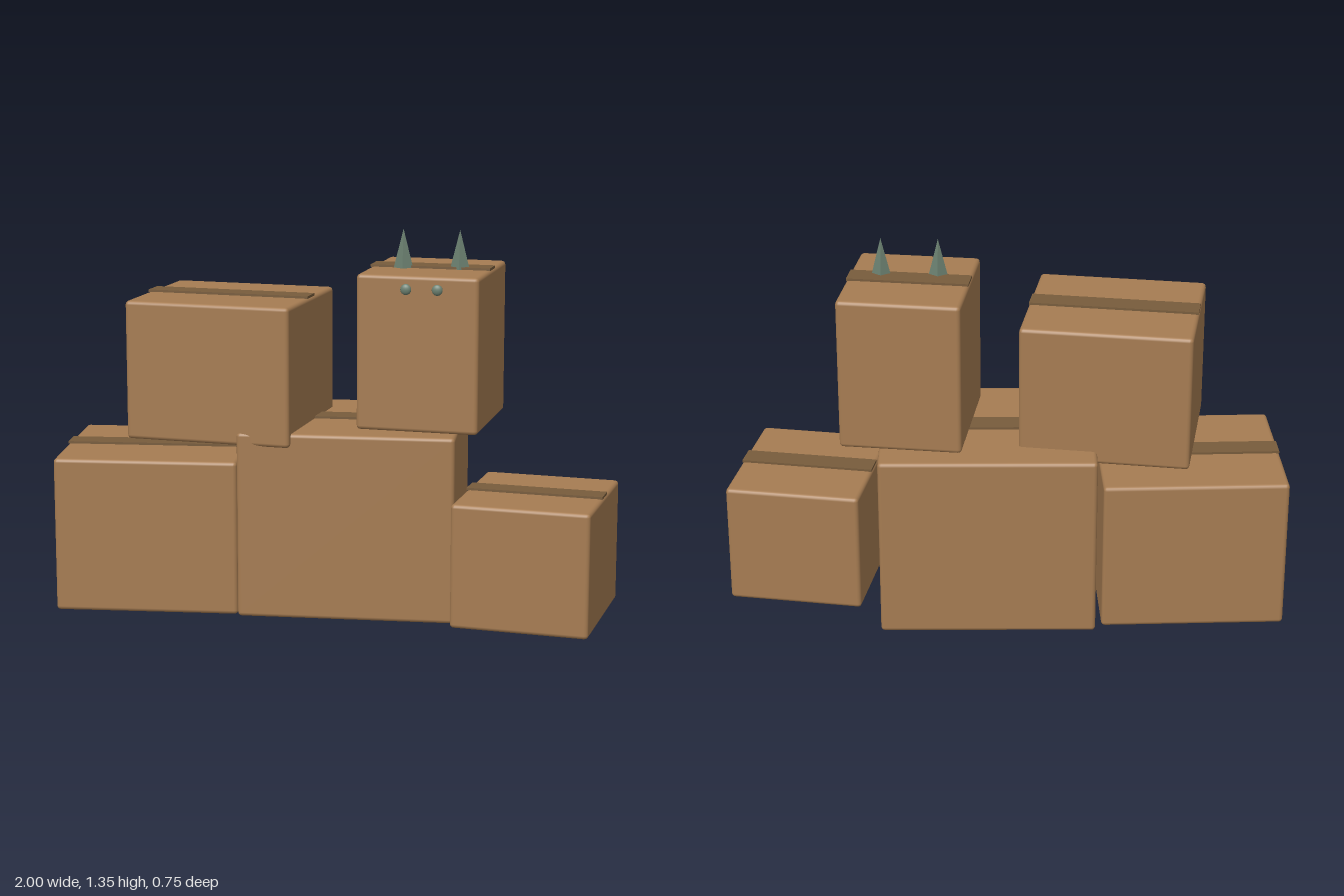
import * as THREE from 'three';
import { RoundedBoxGeometry } from 'three/addons/geometries/RoundedBoxGeometry.js';

export function createModel() {
  const model = new THREE.Group();
  model.name = 'boxPile';

  const material = (name, color) => {
    const m = new THREE.MeshStandardMaterial({ color });
    m.name = name;
    return m;
  };
  const cardboard = material('cardboard', 0xa67c52);
  const tapeBrown = material('tapeBrown', 0x785c3c);
  const sageGreen = material('sageGreen', 0x6b8070);
  const sageFaceted = sageGreen;

  const add = (parent, name, geometry, mat, x, y, z) => {
    const mesh = new THREE.Mesh(geometry, mat);
    mesh.name = name;
    mesh.position.set(x, y, z);
    parent.add(mesh);
    return mesh;
  };

  // Cartons: centre x and z, underside, width, height, depth, turn about y
  const cartons = [
    ['lowerRightCarton', -0.65, 0.02, 0, 0.65, 0.55, 0.6, 0.085],
    ['lowerMiddleCarton', 0.065, -0.035, 0, 0.76, 0.66, 0.65, 0.05],
    ['lowerLeftCarton', 0.726, 0.08, 0, 0.485, 0.44, 0.54, -0.12],
    ['upperRightCarton', -0.377, 0.02, 0.613, 0.597, 0.49, 0.54, -0.11],
    ['upperLeftCarton', 0.337, -0.033, 0.663, 0.43, 0.545, 0.483, -0.085],
  ];
  for (const [name, x, z, base, w, h, d, turn] of cartons) {
    const carton = new THREE.Group();
    carton.name = name;
    carton.position.set(x, base, z);
    carton.rotation.y = turn;
    add(carton, 'carton', new RoundedBoxGeometry(w, h, d, 2, 0.014), cardboard, 0, h / 2, 0);
    // Tape strip over the lid seam
    add(carton, 'tape', new THREE.BoxGeometry(w * 0.995, 0.009, 0.086), tapeBrown, 0, h + 0.0035, 0);
    model.add(carton);
  }

  // Pointed four-sided ears, flat-faced
  const earGeometry = new THREE.ConeGeometry(0.035, 0.14, 4).toNonIndexed();
  earGeometry.computeVertexNormals();
  for (const x of [0.238, 0.437]) {
    const ear = add(model, 'ear', earGeometry, sageFaceted, x, 1.275, 0);
    ear.scale.z = 0.75;
  }

  // Small flattened button eyes
  const eyeGeometry = new THREE.SphereGeometry(0.019, 16, 12);
  for (const x of [0.283, 0.391]) {
    const eye = add(model, 'eye', eyeGeometry, sageGreen, x, 1.167, 0.242);
    eye.scale.z = 0.55;
  }

  return model;
}
